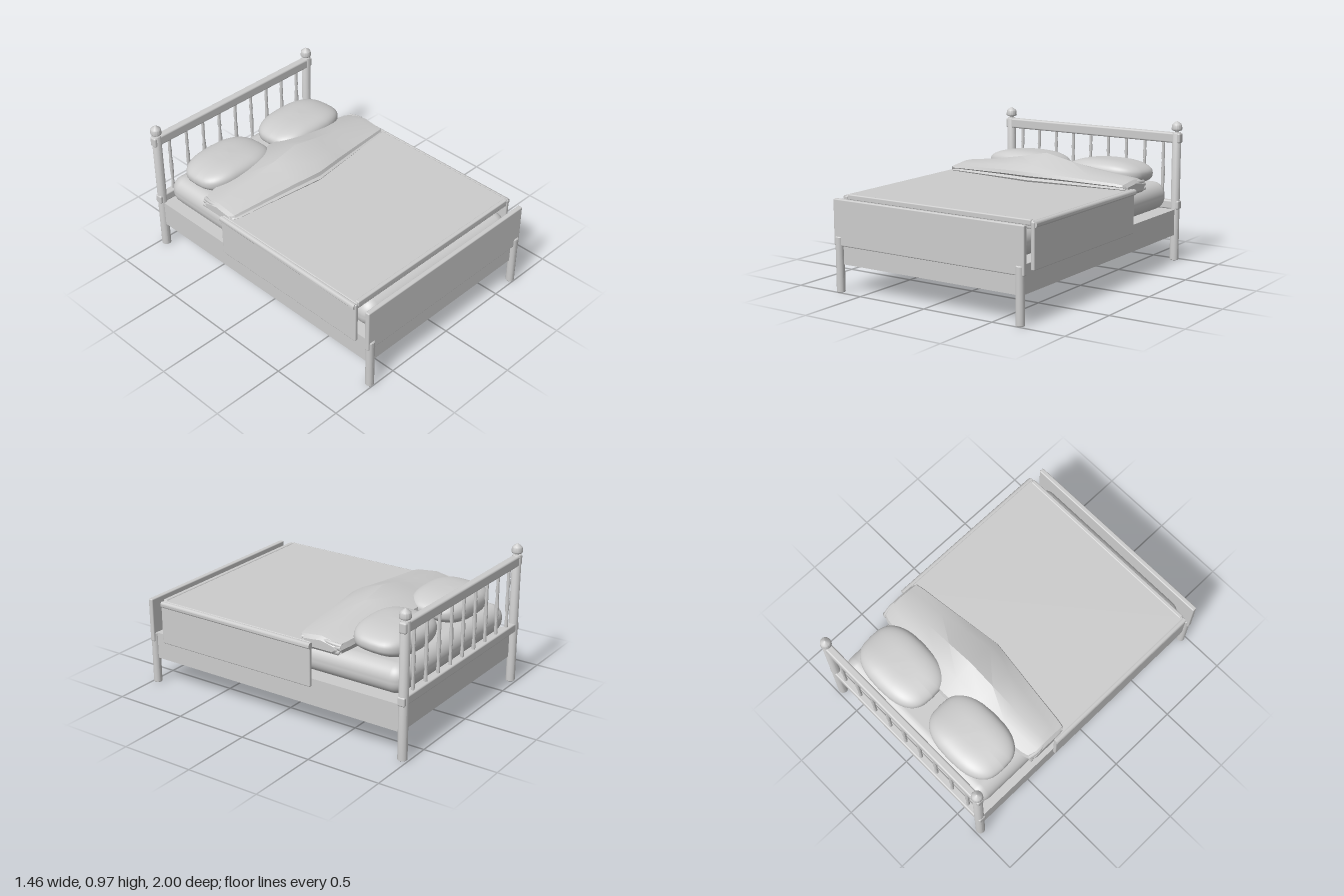
import * as THREE from 'three';
import { toCreasedNormals } from 'three/addons/utils/BufferGeometryUtils.js';
import { RoundedBoxGeometry } from 'three/addons/geometries/RoundedBoxGeometry.js';

export function createModel() {
  const bed = new THREE.Group();
  bed.name = 'bed';
  const grey = new THREE.MeshStandardMaterial({ color: 0xcccccc, side: THREE.DoubleSide });
  grey.name = 'plain grey';

  const add = (name, geo, x = 0, y = 0, z = 0) => {
    const mesh = new THREE.Mesh(geo, grey);
    mesh.name = name;
    mesh.position.set(x, y, z);
    bed.add(mesh);
    return mesh;
  };
  // rounded block given by its limits
  const block = (name, x0, x1, y0, y1, z0, z1, r = 0.005, seg = 2) =>
    add(name, new RoundedBoxGeometry(x1 - x0, y1 - y0, z1 - z0, seg, r),
      (x0 + x1) / 2, (y0 + y1) / 2, (z0 + z1) / 2);
  const turned = (points, sides) => toCreasedNormals(
    new THREE.LatheGeometry(points.map(([r, y]) => new THREE.Vector2(r, y)), sides), 0.6);

  // frame, footboard and headboard rails
  const headZ = -0.96;
  add('frame', new THREE.BoxGeometry(1.38, 0.18, 1.92), 0, 0.27, 0.01);
  block('footboard', -0.715, 0.715, 0.3, 0.6, 0.955, 0.988, 0.008);
  block('topRail', -0.715, 0.715, 0.82, 0.89, headZ - 0.026, headZ + 0.026, 0.012, 3);
  block('lowerRail', -0.715, 0.715, 0.36, 0.42, headZ - 0.026, headZ + 0.026, 0.01, 3);

  // posts, feet and finials
  const post = turned([[0, 0], [0.027, 0], [0.031, 0.004], [0.031, 0.885], [0.027, 0.893], [0, 0.895]], 20);
  const foot = turned([[0, 0], [0.025, 0], [0.028, 0.004], [0.028, 0.355], [0.024, 0.36], [0, 0.36]], 20);
  const finial = turned([[0, 0.89], [0.012, 0.893], [0.012, 0.9], [0.034, 0.908], [0.038, 0.916],
    [0.034, 0.945], [0.028, 0.953], [0, 0.972]], 14);
  for (const s of [-1, 1]) {
    add('headPost', post, s * 0.68, 0, headZ);
    add('finial', finial, s * 0.68, 0, headZ);
    add('frontFoot', foot, s * 0.68, 0, 0.972);
  }

  // turned spindles
  const spindle = turned([[0.011, 0.41], [0.012, 0.46], [0.009, 0.5], [0.013, 0.56], [0.014, 0.62],
    [0.009, 0.69], [0.013, 0.72], [0.01, 0.76], [0.012, 0.83]], 10);
  for (let i = -4; i <= 4; i++) add('spindle', spindle, i * 0.145, 0, headZ);

  // mattress
  block('mattress', -0.65, 0.65, 0.365, 0.56, -0.925, 0.943, 0.09, 6);

  // blanket: top sheet, hanging sides and rolled edges
  block('blanketTop', -0.705, 0.705, 0.555, 0.606, -0.31, 0.875, 0.01);
  block('blanketFootHem', -0.69, 0.69, 0.575, 0.612, 0.85, 0.88, 0.008);
  const roll = toCreasedNormals(new THREE.CylinderGeometry(0.021, 0.021, 1.185, 10), 0.8);
  roll.rotateX(Math.PI / 2);
  for (const s of [-1, 1]) {
    block('blanketSide', s * 0.7025 - 0.0125, s * 0.7025 + 0.0125, 0.31, 0.6, -0.31, 0.88, 0.008);
    add('blanketRoll', roll, s * 0.709, 0.584, 0.28);
  }

  // pillows: squared-off ellipsoids, fuller in the middle
  const soft = (v, p) => Math.sign(v) * Math.pow(Math.abs(v), p);
  const pillow = new THREE.SphereGeometry(1, 40, 28);
  const pos = pillow.attributes.position;
  for (let i = 0; i < pos.count; i++) {
    const x = soft(pos.getX(i), 0.55), z = soft(pos.getZ(i), 0.55);
    const y = soft(pos.getY(i), 0.8);
    const px = x * 0.29 * (1 - 0.06 * z * z);
    const pz = z * 0.205 * (1 - 0.14 * x * x);
    pos.setXYZ(i, px, y * 0.09 * (1 - 0.25 * Math.min(1, x * x)) - pz * -0.06, pz);
  }
  pillow.computeVertexNormals();
  for (const s of [-1, 1]) add('pillow', pillow, s * 0.325, 0.635, -0.675);

  // folded cover: cross-sections lofted from right to left
  // x, front z, back z, bottom y, lip y, peak y, back y
  const half = [
    [0, -0.13, -0.62, 0.57, 0.67, 0.77, 0.66],
    [0.2, -0.155, -0.605, 0.57, 0.665, 0.73, 0.65],
    [0.4, -0.18, -0.56, 0.57, 0.655, 0.695, 0.65],
    [0.62, -0.205, -0.53, 0.565, 0.645, 0.668, 0.635],
    [0.675, -0.215, -0.51, 0.555, 0.638, 0.655, 0.625],
    [0.695, -0.25, -0.48, 0.575, 0.62, 0.632, 0.61],
  ];
  const stations = [...half.slice(1).reverse().map(([x, ...r]) => [-x, ...r]), ...half];
  const verts = [], index = [];
  let n = 0;
  for (const [x, zf, zb, bot, lip, peak, back] of stations) {
    const h = lip - 0.6;
    const section = [
      [zf - 0.03, bot], [zf - 0.01, 0.6], [zf, 0.6 + h * 0.25], [zf - 0.022, 0.6 + h * 0.45],
      [zf, 0.6 + h * 0.65], [zf - 0.008, lip], [zf - 0.07, lip + (peak - lip) * 0.42],
      [-0.37, peak], [(zb - 0.37) / 2, peak * 0.55 + back * 0.45],
      [zb + 0.01, back], [zb, (back + bot) / 2], [zb + 0.02, bot],
    ];
    n = section.length;
    for (const [z, y] of section) verts.push(x, y, z);
  }
  const last = stations.length - 1;
  for (let i = 0; i < last; i++) {
    for (let j = 0; j < n; j++) {
      const a = i * n + j, d = i * n + (j + 1) % n;
      index.push(a, a + n, d, d, a + n, d + n);
    }
  }
  for (let j = 1; j < n - 1; j++) {
    index.push(0, j, j + 1, last * n, last * n + j + 1, last * n + j);
  }
  const cover = new THREE.BufferGeometry();
  cover.setAttribute('position', new THREE.Float32BufferAttribute(verts, 3));
  cover.setIndex(index);
  add('foldedCover', toCreasedNormals(cover, 0.5));

  // bunched ends of the folded cover
  for (const s of [-1, 1]) {
    for (let k = 0; k < 3; k++) {
      const path = new THREE.CatmullRomCurve3([0, 1, 2, 3, 4].map((t) => new THREE.Vector3(
        s * (0.672 + 0.008 * Math.sin(t * 2 + k)), 0.575 + k * 0.025 + 0.008 * Math.sin(t * 1.7 + k * 2),
        -0.23 - t * 0.07)));
      add('coverRuffle', new THREE.TubeGeometry(path, 16, 0.014, 7), 0, 0, 0);
    }
  }
  return bed;
}
